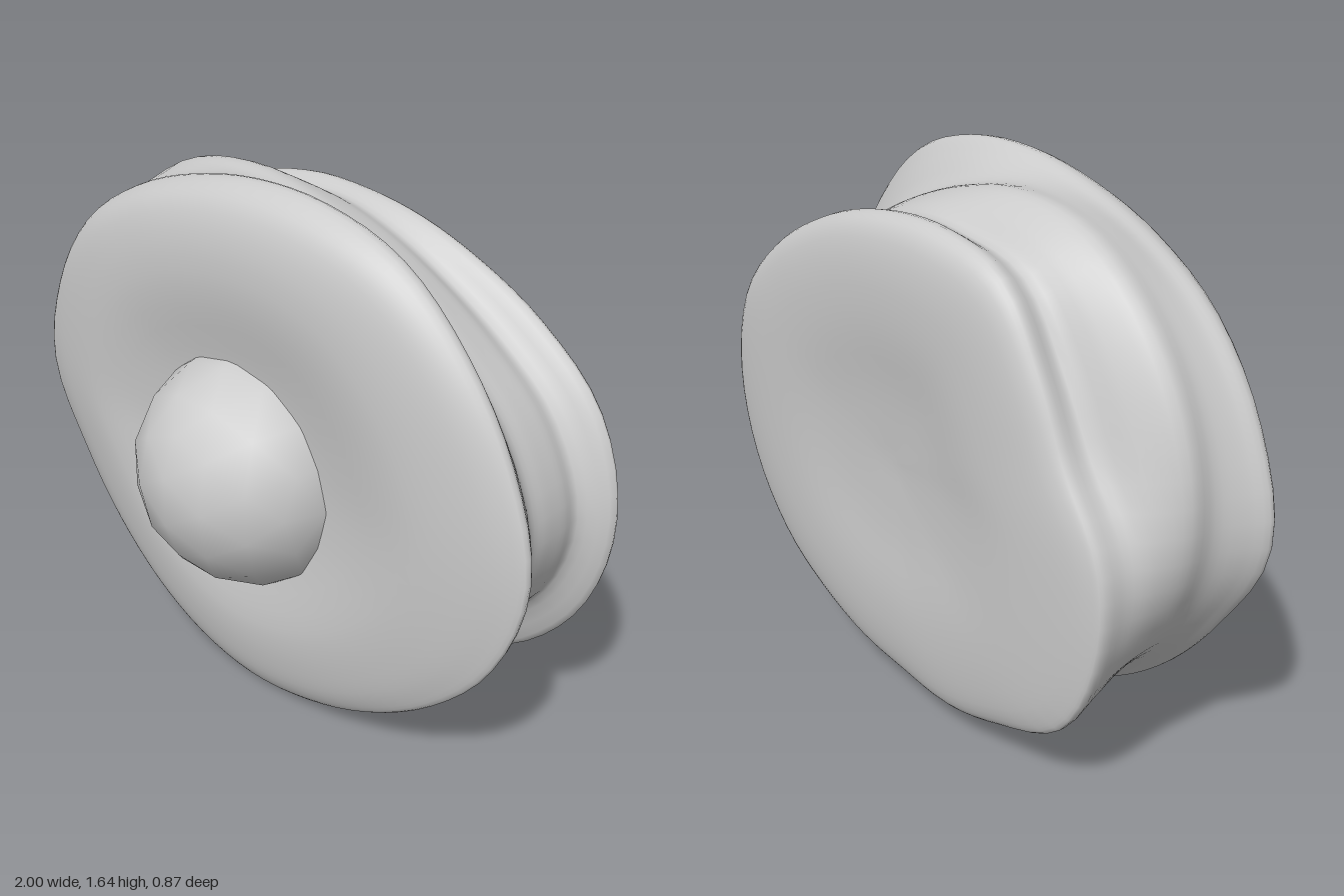
import * as THREE from 'three';
import { mergeVertices } from 'three/addons/utils/BufferGeometryUtils.js';

const STEPS = 80;   // samples round the body
const RINGS = 64;   // samples from the front centre to the back centre
const CENTRE_Y = 0.8;

// Outline radii every 18 degrees, anticlockwise from +x
const frontRim = [1, .965, .935, .915, .868, .835, .832, .87, .935, .98, 1, .9, .84, .81, .8, .8, .805, .835, .89, .96];
const waist = [.895, .85, .77, .73, .72, .755, .83, .91, .945, .95, .93, .87, .8, .74, .735, .71, .73, .755, .775, .84];
const groove = [.885, .83, .735, .68, .675, .7, .73, .79, .76, .77, .87, .885, .86, .79, .765, .735, .73, .745, .765, .85];
const backRim = [.96, .92, .82, .745, .715, .72, .76, .81, .77, .765, .86, .89, .885, .8, .755, .72, .745, .8, .885, .945];

// Profile keys: z, weight of front rim, waist, groove and back rim
const keys = [
  [.145, 0, 0, 0, 0],
  [.162, .35, 0, 0, 0],
  [.196, .65, 0, 0, 0],
  [.182, .84, 0, 0, 0],
  [.147, .95, 0, 0, 0],
  [.09, 1, 0, 0, 0],
  [.03, .7, .29, 0, 0],
  [-.05, .15, .84, 0, 0],
  [-.13, 0, 1, 0, 0],
  [-.21, 0, .55, .45, 0],
  [-.28, 0, 0, 1, 0],
  [-.35, 0, 0, 0, 1],
  [-.39, 0, 0, 0, .96],
  [-.416, 0, 0, 0, .84],
  [-.424, 0, 0, 0, .6],
  [-.405, 0, 0, 0, .3],
  [-.395, 0, 0, 0, 0],
];

// Smooth closed lookup of a radius list
function outline(radii) {
  const curve = new THREE.CatmullRomCurve3(
    radii.map((r) => new THREE.Vector3(r, 0, 0)), true, 'catmullrom', 0.5);
  return (t) => curve.getPoint(t).x;
}

// Bend of the two faces, fading out at the rims: the front thins to the sides, the back to -x
function faceBend(x, y, z) {
  const front = THREE.MathUtils.clamp((z - .09) / .08, 0, 1);
  const back = THREE.MathUtils.clamp((-.35 - z) / .06, 0, 1);
  return front * (.035 * y - .05 * x * x) + back * (.05 * Math.min(x, 0) ** 2 - .015 * y);
}

function bodyGeometry() {
  const outlines = [frontRim, waist, groove, backRim].map(outline);
  const positions = [];
  const index = [];
  for (let j = 0; j < STEPS; j++) {
    const t = j / STEPS;
    const cos = Math.cos(t * Math.PI * 2);
    const sin = Math.sin(t * Math.PI * 2);
    const radii = outlines.map((o) => o(t));
    // Profile from the front centre, over both rims, to the back centre
    const profile = new THREE.CatmullRomCurve3(keys.map(([z, ...weights]) => {
      const r = weights.reduce((sum, w, k) => sum + w * radii[k], 0);
      return new THREE.Vector3(r, 0, z + faceBend(r * cos, r * sin, z));
    }));
    for (let i = 0; i <= RINGS; i++) {
      const p = profile.getPoint(i / RINGS);
      positions.push(p.x * cos, CENTRE_Y + p.x * sin, p.z);
    }
  }
  const at = (i, j) => (j % STEPS) * (RINGS + 1) + i;
  for (let j = 0; j < STEPS; j++) {
    for (let i = 0; i < RINGS; i++) {
      const a = at(i, j), b = at(i, j + 1), c = at(i + 1, j + 1), d = at(i + 1, j);
      // Single triangles at the two centres, quads elsewhere
      if (i > 0) index.push(a, d, b);
      if (i < RINGS - 1) index.push(b, d, c);
    }
  }
  let geometry = new THREE.BufferGeometry();
  geometry.setAttribute('position', new THREE.Float32BufferAttribute(positions, 3));
  geometry.setIndex(index);
  geometry = mergeVertices(geometry, 1e-5);
  geometry.computeVertexNormals();
  return geometry;
}

export function createModel() {
  const model = new THREE.Group();
  model.name = 'roundedBody';
  const material = new THREE.MeshStandardMaterial({ color: 0xcccccc });

  // Soft disc with a grooved edge
  const body = new THREE.Mesh(bodyGeometry(), material);
  body.name = 'groovedDisc';

  // Ball sunk into the front face
  const dome = new THREE.Mesh(new THREE.IcosahedronGeometry(.368, 2), material);
  dome.name = 'frontDome';
  dome.position.set(0, .772, .08);

  model.add(body, dome);
  return model;
}
